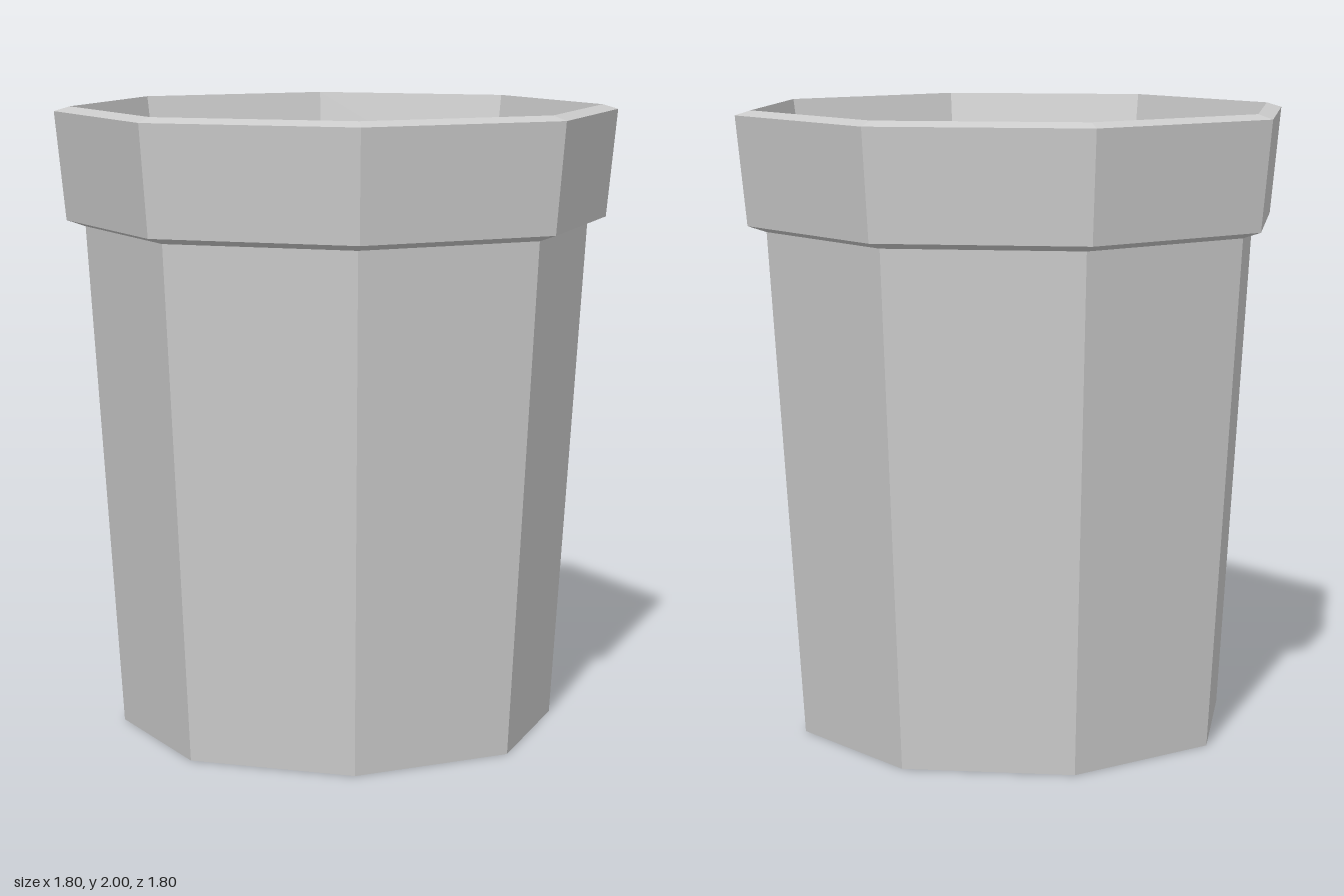
import * as THREE from 'three';

const SIDES = 8;

// Eight-sided turned surface from [radius, height] pairs, bottom to top on the outside
function turned(points) {
  return new THREE.LatheGeometry(points.map(([r, y]) => new THREE.Vector2(r, y)), SIDES);
}

export function createModel() {
  const model = new THREE.Group();
  model.name = 'plantPot';
  const material = new THREE.MeshStandardMaterial({ color: 0xcccccc, flatShading: true });

  function add(name, geometry) {
    const mesh = new THREE.Mesh(geometry, material);
    mesh.name = name;
    model.add(mesh);
  }

  // Tapered body with closed base
  add('potBody', turned([[0, 0], [0.7, 0], [0.805, 1.62]]));

  // Overhanging collar, bevelled lip and inner ledge
  add('rim', turned([
    [0.805, 1.62], [0.865, 1.64], [0.9, 1.985], [0.85, 2], [0.8, 1.66], [0.705, 1.65],
  ]));

  // Inner wall down to the soil
  add('innerWall', turned([[0.705, 1.65], [0.64, 1.15]]));

  // Soil mound: each ring of the stack is shifted sideways and tilted
  const rings = [
    { r: 0.64, y: 1.15, shift: 0, tilt: 0 },
    { r: 0.507, y: 1.35, shift: -0.02, tilt: -0.16 },
    { r: 0.27, y: 1.45, shift: 0.15, tilt: 0 },
    { r: 0, y: 1.45, shift: 0.15, tilt: 0 },
  ];
  const soil = turned(rings.map(({ r, y }) => [r, y]));
  const pos = soil.attributes.position;
  for (let i = 0; i < pos.count; i++) {
    const { shift, tilt } = rings[i % rings.length];
    const x = pos.getX(i);
    pos.setX(i, x + shift);
    pos.setY(i, pos.getY(i) + tilt * x);
  }
  soil.computeVertexNormals();
  add('soil', soil);

  return model;
}
